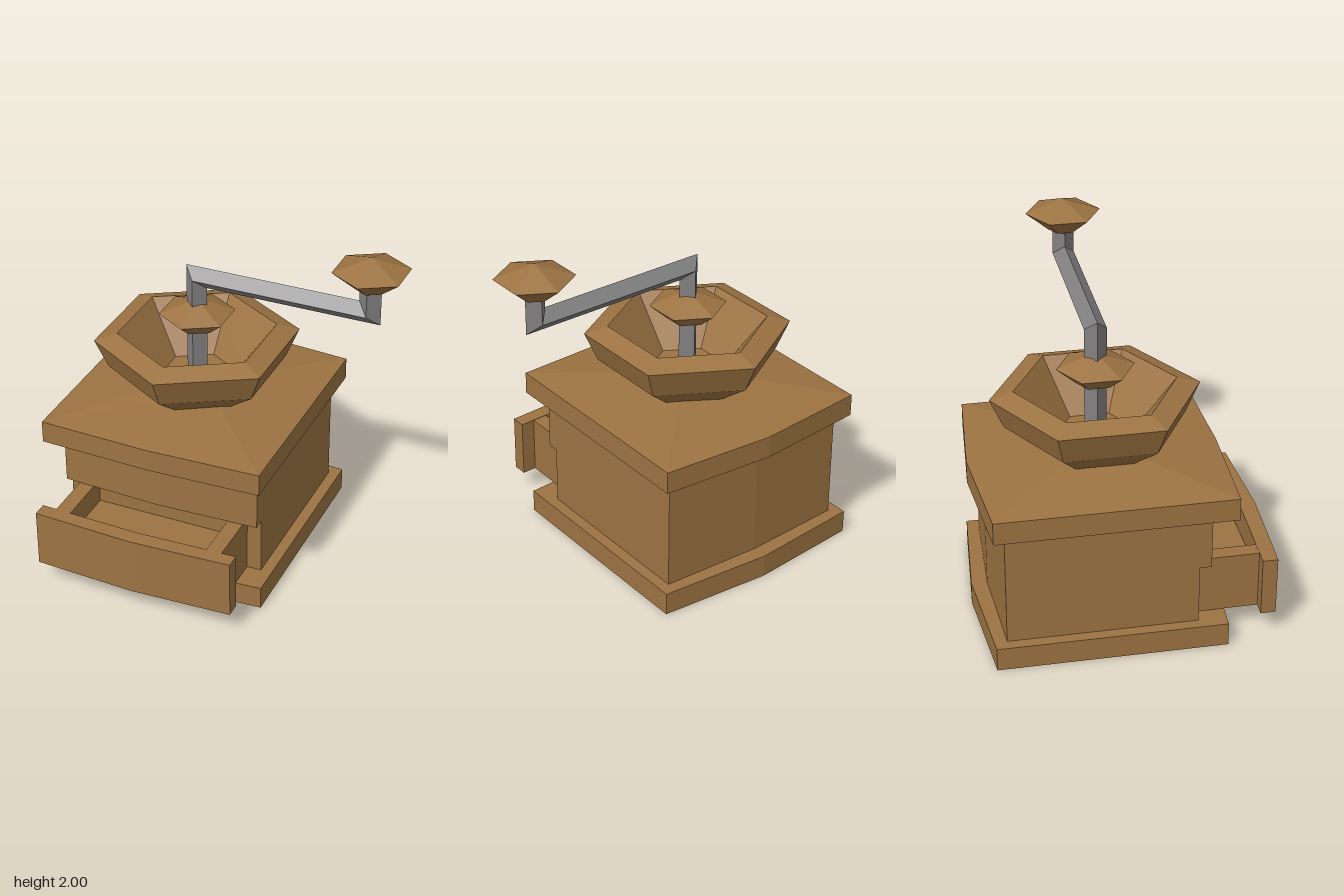
import * as THREE from 'three';

const CX = -0.275, CZ = -0.105; // axis of the mill body

// Flat faced skin through a list of rings (each an array of [x, y, z]), capped at both ends
function loft(rings) {
  const pos = [];
  const tri = (...pts) => pts.forEach(p => pos.push(...p));
  for (let i = 0; i < rings.length - 1; i++) {
    const lo = rings[i], hi = rings[i + 1], n = lo.length;
    for (let j = 0; j < n; j++) {
      const k = (j + 1) % n;
      tri(lo[j], lo[k], hi[k]);
      tri(lo[j], hi[k], hi[j]);
    }
  }
  const first = rings[0], last = rings[rings.length - 1];
  for (let j = 1; j < first.length - 1; j++) {
    tri(first[0], first[j + 1], first[j]);
    tri(last[0], last[j], last[j + 1]);
  }
  const g = new THREE.BufferGeometry();
  g.setAttribute('position', new THREE.Float32BufferAttribute(pos, 3));
  g.computeVertexNormals();
  return g;
}

// Rectangle whose front and back edges bend at the middle
const outline = (y, half, front, frontMid, back, backMid) => [
  [CX - half, y, front], [CX, y, frontMid], [CX + half, y, front],
  [CX + half, y, back], [CX, y, backMid], [CX - half, y, back],
];
const slab = (y0, y1, ...o) => loft([outline(y0, ...o), outline(y1, ...o)]);

// Six sided turned part from [radius, y] pairs
const turned = profile =>
  new THREE.LatheGeometry(profile.map(p => new THREE.Vector2(...p)), 6);

export function createModel() {
  const group = new THREE.Group();
  const wood = new THREE.MeshStandardMaterial({ color: 0x9c7342, flatShading: true });
  wood.name = 'wood';
  const metal = new THREE.MeshStandardMaterial({ color: 0x828080, flatShading: true });
  metal.name = 'metal';

  const add = (name, geometry, material = wood, x = 0, y = 0, z = 0, parent = group) => {
    const mesh = new THREE.Mesh(geometry, material);
    mesh.name = name;
    mesh.position.set(x, y, z);
    parent.add(mesh);
    return mesh;
  };

  // Case: base, lower body set back behind the drawer, upper body
  add('base', slab(0, 0.135, 0.657, 0.51, 0.55, -0.765, -0.82));
  add('lowerBody', slab(0.135, 0.475, 0.592, 0.355, 0.355, -0.7, -0.73));
  add('upperBody', slab(0.475, 0.795, 0.592, 0.42, 0.445, -0.7, -0.73));

  // Lid with a shallow sloping roof
  const rim = [0.657, 0.55, 0.573, -0.765, -0.82];
  add('lid', loft([
    outline(0.795, ...rim),
    outline(0.925, ...rim),
    outline(0.985, 0.23, 0.1, 0.1, -0.31, -0.31),
  ]));

  // Pulled out drawer
  const drawer = new THREE.Group();
  drawer.name = 'drawer';
  group.add(drawer);
  add('drawerFront', slab(0.135, 0.475, 0.592, 0.79, 0.818, 0.705, 0.725), wood, 0, 0, 0, drawer);
  for (const side of [-1, 1]) {
    add('drawerSide', new THREE.BoxGeometry(0.09, 0.338, 0.37), wood,
      CX + side * 0.4625, 0.304, 0.527, drawer);
  }
  add('drawerFloor', new THREE.BoxGeometry(0.84, 0.195, 0.37), wood, CX, 0.2325, 0.53, drawer);

  // Hopper bowl, with its hollow inside
  add('bowl', turned([
    [0, 0.97], [0.31, 0.97], [0.505, 1.12], [0.58, 1.29],
    [0.45, 1.33], [0.22, 1.04], [0, 1.04],
  ]), wood, CX, 0, CZ);

  // Collar on the shaft and knob on the handle
  add('collar', turned([[0, 1.355], [0.115, 1.355], [0.215, 1.44], [0, 1.525]]), wood, CX, 0, CZ);
  add('knob', turned([[0, 1.815], [0.085, 1.815], [0.215, 1.92], [0, 2]]), wood, 0.74, 0, CZ);

  // Crank: a diamond section bar with mitred corners
  const r = 0.062;
  const section = (x, y, nx, ny) => [
    [x, y, CZ + r], [x + nx * r, y + ny * r, CZ],
    [x, y, CZ - r], [x - nx * r, y - ny * r, CZ],
  ];
  add('crank', loft([
    section(CX, 1.03, 1, 0),
    section(CX, 1.665, 1, -1),
    section(0.74, 1.665, 1, -1),
    section(0.74, 1.86, 1, 0),
  ]), metal);

  return group;
}
